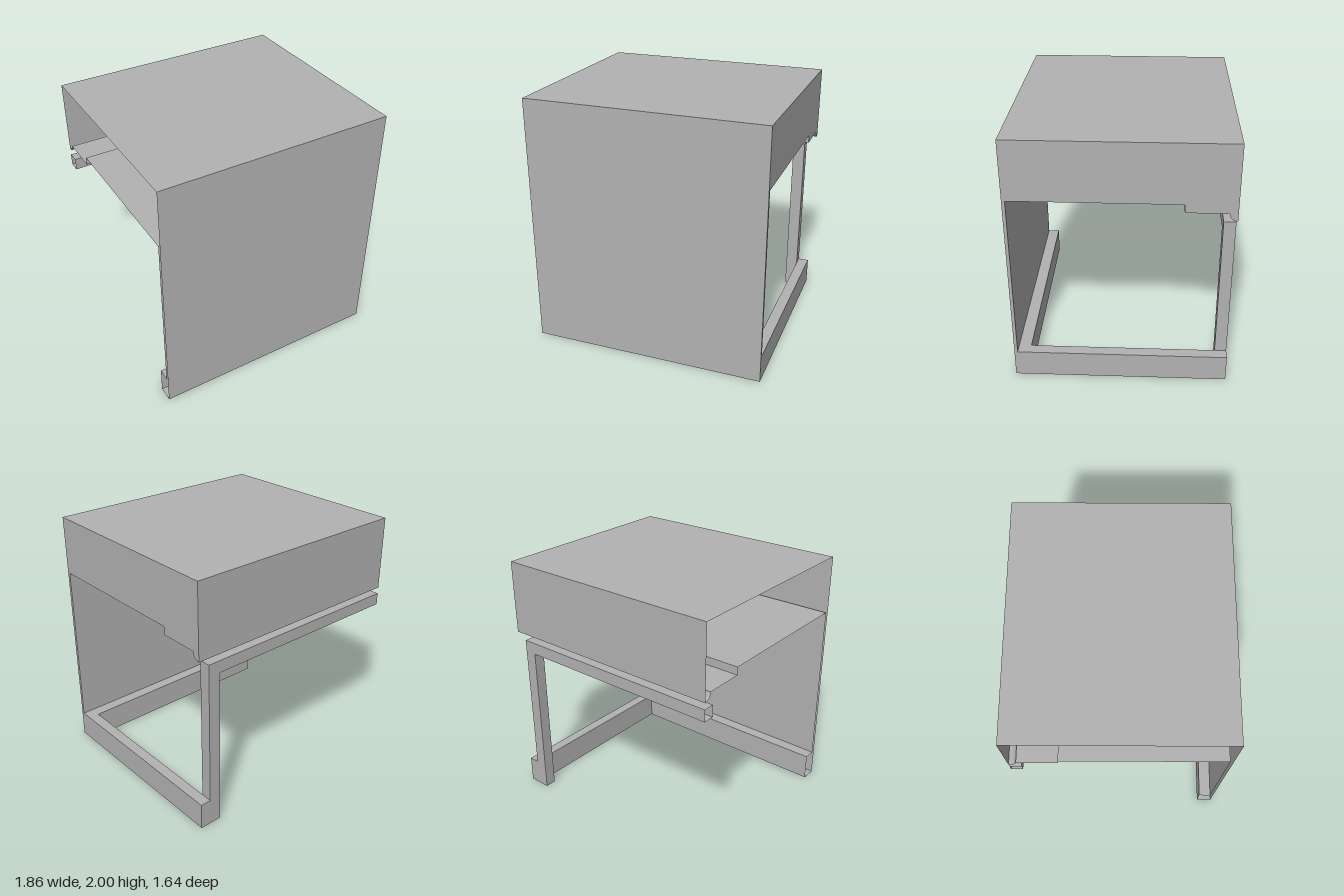
import * as THREE from 'three';

const X0 = -0.93, X1 = 0.93, Z0 = -0.82, Z1 = 0.82;

// Extrude a (z, y) profile along x, capped at its left end and open at its right end
function openPrism(shape, x0, x1) {
  const length = x1 - x0;
  const geo = new THREE.ExtrudeGeometry(shape, { depth: length, bevelEnabled: false, curveSegments: 8 });
  const p = geo.attributes.position;
  const kept = [];
  for (let i = 0; i < p.count; i += 3) {
    const isOpenEnd = [0, 1, 2].every(k => p.getZ(i + k) < 1e-5);
    if (isOpenEnd) continue;
    for (let k = 0; k < 3; k++) kept.push(p.getX(i + k), p.getY(i + k), p.getZ(i + k));
  }
  const open = new THREE.BufferGeometry();
  open.setAttribute('position', new THREE.Float32BufferAttribute(kept, 3));
  open.rotateY(Math.PI / 2);
  open.translate(x0, 0, 0);
  open.computeVertexNormals();
  return open;
}

// Box given by its limits
function block(x0, x1, y0, y1, z0, z1) {
  const geo = new THREE.BoxGeometry(x1 - x0, y1 - y0, z1 - z0);
  geo.translate((x0 + x1) / 2, (y0 + y1) / 2, (z0 + z1) / 2);
  return geo;
}

export function createModel() {
  const group = new THREE.Group();
  const grey = new THREE.MeshStandardMaterial({ color: 0xb2b2b2, side: THREE.DoubleSide });
  grey.name = 'grey';

  const add = (name, geometry) => {
    const mesh = new THREE.Mesh(geometry, grey);
    mesh.name = name;
    group.add(mesh);
  };

  // Front panel, hollow top and front foot rail share one profile (shape x is -z)
  const body = new THREE.Shape();
  body.moveTo(-Z1, 0);
  body.lineTo(-0.70, 0);
  body.lineTo(-0.70, 0.215);
  body.lineTo(-0.795, 0.215);
  body.lineTo(-0.795, 1.54);
  body.lineTo(0.45, 1.54);
  body.lineTo(0.45, 1.477);
  body.lineTo(0.76, 1.477);
  // rounded lip under the back edge
  body.absarc(-Z0, 1.477, 0.06, Math.PI, Math.PI * 1.5, false);
  body.lineTo(-Z0, 2);
  body.lineTo(-Z1, 2);
  body.closePath();
  add('casing', openPrism(body, X0, X1));

  // Foot rail along the left side
  add('sideFootRail', block(0.845, X1, 0, 0.215, Z0, 0.70));

  // Back frame: upright and crossbar
  add('backPost', block(0.75, 0.845, 0, 1.365, Z0, -0.73));
  const bar = new THREE.Shape();
  bar.moveTo(0.73, 1.27);
  bar.lineTo(-Z0, 1.27);
  bar.lineTo(-Z0, 1.365);
  bar.lineTo(0.73, 1.365);
  bar.closePath();
  add('backCrossbar', openPrism(bar, X0, 0.75));

  return group;
}
